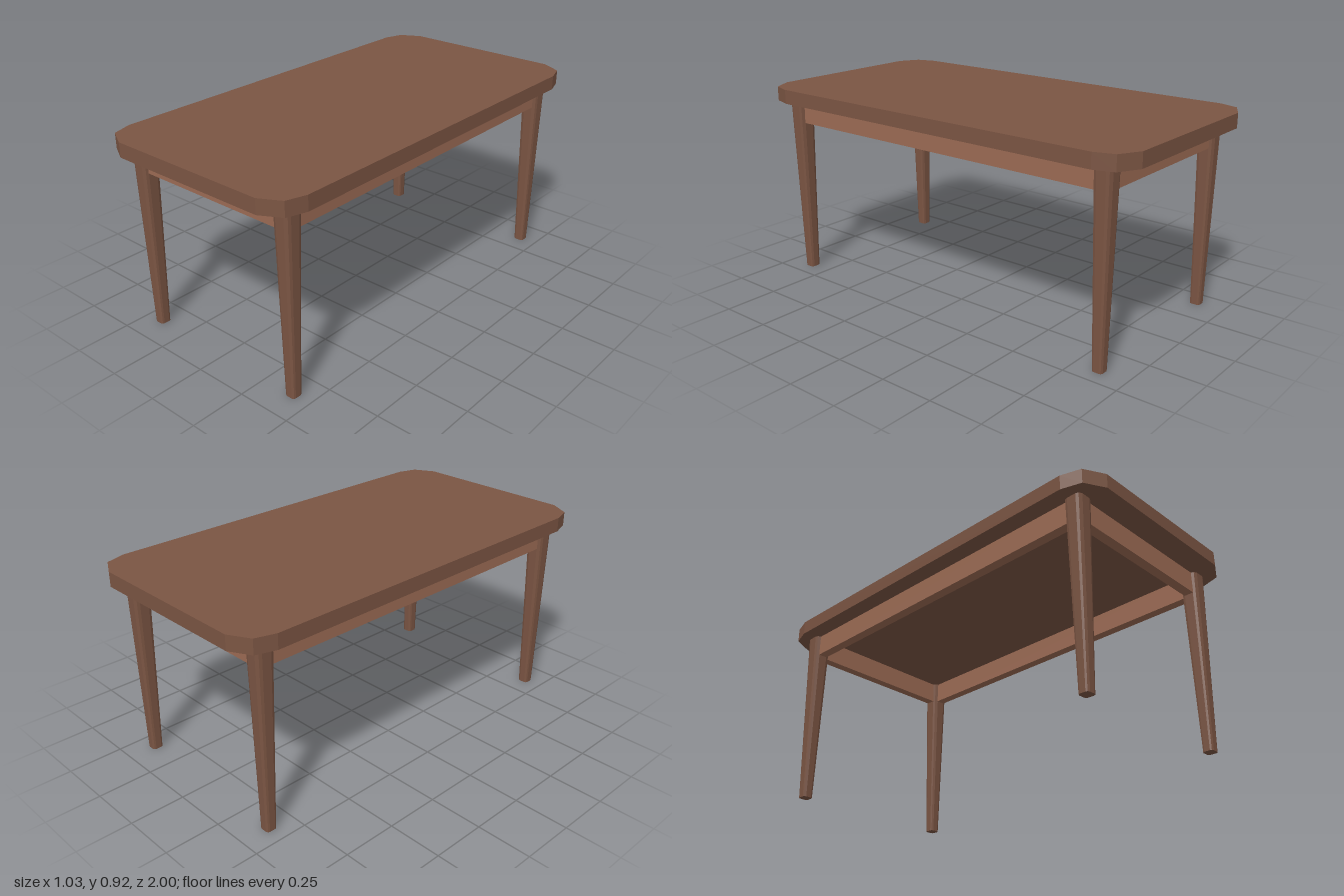
import * as THREE from 'three';

const wood = new THREE.MeshStandardMaterial({ color: 0x7b5543, flatShading: true });
const lightWood = new THREE.MeshStandardMaterial({ color: 0x9c6b54, flatShading: true });

// Upright prism on a rectangle whose corners are each cut by two facets
function roundedPrism(halfX, halfZ, cutX, cutZ, height) {
  const corner = [
    [halfX, halfZ - cutZ],
    [halfX - cutX * 0.23, halfZ - cutZ * 0.36],
    [halfX - cutX, halfZ],
  ];
  const mirrored = (sx, sz) => corner.map(([x, z]) => new THREE.Vector2(x * sx, z * sz));
  const outline = [
    ...mirrored(1, 1), ...mirrored(-1, 1).reverse(),
    ...mirrored(-1, -1), ...mirrored(1, -1).reverse(),
  ];
  const geometry = new THREE.ExtrudeGeometry(new THREE.Shape(outline), { depth: height, bevelEnabled: false });
  return geometry.rotateX(-Math.PI / 2);
}

// Leg narrowing evenly towards the foot
function taperedLeg(topHalf, footHalf, height) {
  const geometry = roundedPrism(topHalf, topHalf, 0.02, 0.02, height);
  const p = geometry.attributes.position;
  for (let i = 0; i < p.count; i++) {
    const s = THREE.MathUtils.lerp(footHalf / topHalf, 1, p.getY(i) / height);
    p.setX(i, p.getX(i) * s);
    p.setZ(i, p.getZ(i) * s);
  }
  geometry.computeVertexNormals();
  return geometry;
}

export function createModel() {
  const table = new THREE.Group();
  table.name = 'table';
  const add = (name, geometry, material, x, y, z) => {
    const mesh = new THREE.Mesh(geometry, material);
    mesh.name = name;
    mesh.position.set(x, y, z);
    table.add(mesh);
  };

  const underside = 0.853, legX = 0.41, legZ = 0.865;
  const apronHeight = 0.103, apronThickness = 0.045;
  const apronY = underside - apronHeight / 2;

  // Top with faceted corners
  add('tableTop', roundedPrism(0.513, 1, 0.123, 0.14, 0.067), wood, 0, underside, 0);

  // Four legs
  const leg = taperedLeg(0.042, 0.025, underside);
  for (const [side, sx] of [['Left', 1], ['Right', -1]]) {
    add(`front${side}Leg`, leg, wood, sx * legX, 0, legZ);
    add(`back${side}Leg`, leg, wood, sx * legX, 0, -legZ);
  }

  // Aprons between the legs
  const endApron = new THREE.BoxGeometry(2 * legX - 0.06, apronHeight, apronThickness);
  const sideApron = new THREE.BoxGeometry(apronThickness, apronHeight, 2 * legZ - 0.06);
  add('frontApron', endApron, lightWood, 0, apronY, legZ);
  add('backApron', endApron, lightWood, 0, apronY, -legZ);
  add('leftApron', sideApron, lightWood, legX, apronY, 0);
  add('rightApron', sideApron, lightWood, -legX, apronY, 0);

  return table;
}
